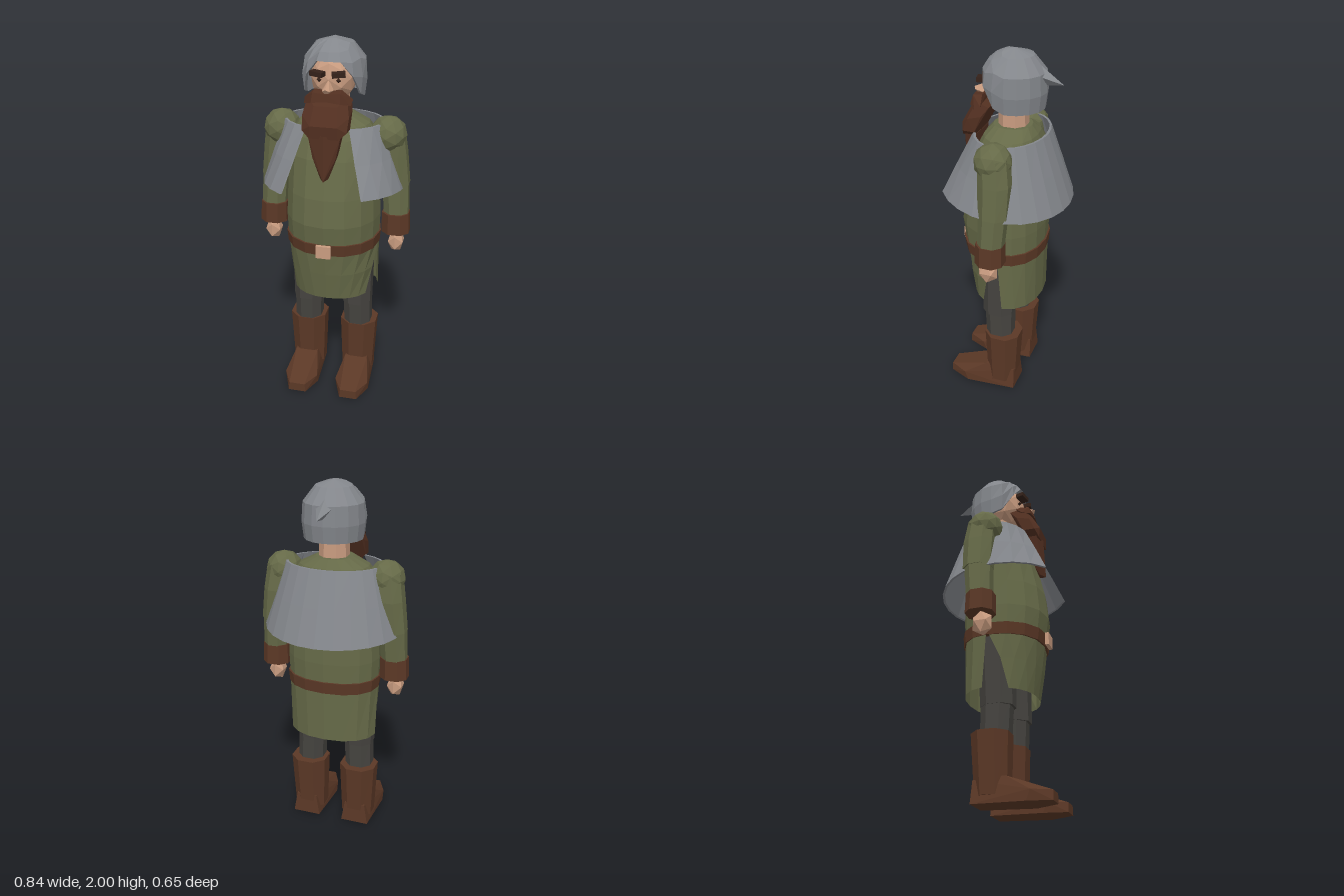
import * as THREE from 'three';
import { ConvexGeometry } from 'three/addons/geometries/ConvexGeometry.js';

const paint = (name, color, side = THREE.FrontSide) =>
  Object.assign(new THREE.MeshStandardMaterial({ color, side, flatShading: true }), { name });

export function createModel() {
  const model = new THREE.Group();
  model.name = 'beardedMan';
  const green = paint('tunicGreen', 0x666a48, THREE.DoubleSide);
  const steel = paint('steelGrey', 0x84878c, THREE.DoubleSide);
  const leather = paint('leatherBrown', 0x5b3826);
  const hair = paint('beardBrown', 0x533021);
  const dark = paint('browBrown', 0x35221a);
  const skin = paint('skin', 0xc99c80);
  const cloth = paint('trouserGrey', 0x45433f);

  function add(name, geometry, material, x = 0, y = 0, z = 0) {
    const mesh = new THREE.Mesh(geometry, material);
    mesh.name = name;
    mesh.position.set(x, y, z);
    model.add(mesh);
    return mesh;
  }

  // Skin a list of point rows, bottom to top; optional caps close both ends
  function surface(rows, caps = false) {
    const pos = [];
    const tri = (...pts) => pts.forEach((p) => pos.push(p.x, p.y, p.z));
    for (let i = 0; i < rows.length - 1; i++) {
      for (let j = 0; j < rows[i].length - 1; j++) {
        const a = rows[i][j], b = rows[i][j + 1], c = rows[i + 1][j + 1], d = rows[i + 1][j];
        tri(a, b, c);
        tri(a, c, d);
      }
    }
    if (caps) {
      const lo = rows[0], hi = rows[rows.length - 1];
      for (let j = 1; j < lo.length - 2; j++) {
        tri(lo[0], lo[j + 1], lo[j]);
        tri(hi[0], hi[j], hi[j + 1]);
      }
    }
    const g = new THREE.BufferGeometry();
    g.setAttribute('position', new THREE.Float32BufferAttribute(pos, 3));
    g.computeVertexNormals();
    return g;
  }

  // Horizontal arc with its own depth to the front and back; angle 0 faces +z
  function arc(y, rx, front, back, n = 16, a0 = 0, a1 = Math.PI * 2, cx = 0, cz = 0) {
    return Array.from({ length: n + 1 }, (_, j) => {
      const a = a0 + (a1 - a0) * j / n, c = Math.cos(a), s = Math.sin(a);
      const soft = (v) => Math.sign(v) * Math.abs(v) ** 0.9;
      return new THREE.Vector3(cx + rx * soft(s), y, cz + (c > 0 ? front : back) * soft(c));
    });
  }
  // Limb sections: [y, cx, cz, rx, rz]
  const limb = (sections, n = 8) => surface(sections.map(([y, cx, cz, rx, rz]) =>
    arc(y, rx, rz, rz, n, Math.PI / n, Math.PI * 2 + Math.PI / n, cx, cz)), true);
  const hull = (points) => new ConvexGeometry(points.map((p) => new THREE.Vector3(...p)));
  // Mirror each point across x for symmetric hulls
  const both = (points) => hull(points.flatMap(([x, y, z]) => [[x, y, z], [-x, y, z]]));

  // Tunic body with a round belly
  add('tunic', surface([
    [0.9, 0.252, 0.25, 0.185], [1.05, 0.257, 0.27, 0.19], [1.2, 0.25, 0.255, 0.185],
    [1.4, 0.245, 0.21, 0.18], [1.5, 0.235, 0.17, 0.165], [1.56, 0.19, 0.14, 0.14],
    [1.605, 0.1, 0.1, 0.105],
  ].map((s) => arc(...s)), true), green);

  // Skirt panels, slit at both hips
  const q = Math.PI / 2;
  add('skirtFront', surface([
    arc(0.59, 0.225, 0.205, 0.18, 8, -1.08, 1.08),
    arc(0.75, 0.24, 0.23, 0.18, 8, -1.3, 1.3),
    arc(0.91, 0.253, 0.25, 0.18, 8, -q, q),
  ]), green);
  add('skirtBack', surface([
    arc(0.59, 0.25, 0.18, 0.18, 8, q + 0.1, 3 * q - 0.1),
    arc(0.91, 0.253, 0.18, 0.185, 8, q, 3 * q),
  ]), green);

  // Belt and buckle
  add('belt', surface([arc(0.88, 0.256, 0.256, 0.192), arc(0.945, 0.262, 0.266, 0.196)], true), leather);
  add('buckle', new THREE.BoxGeometry(0.08, 0.07, 0.02), skin, 0, 0.912, 0.27);

  // Shoulder cape, open at the front, with a thin rim
  const capeRow = (t, inset) => {
    const a0 = 0.585 - 0.135 * t, mix = THREE.MathUtils.lerp;
    const row = [];
    for (let j = 0; j <= 20; j++) {
      const a = a0 + (Math.PI * 2 - 2 * a0) * j / 20, c = Math.cos(a);
      const z = c * (mix(c > 0 ? 0.385 : 0.325, 0.195, t) - inset);
      row.push(new THREE.Vector3(Math.sin(a) * (mix(0.385, 0.268, t) - inset), mix(1.22 + 0.09 * z, 1.57, t), z));
    }
    return row;
  };
  add('cape', surface([capeRow(0, 0), capeRow(0.5, 0), capeRow(1, 0),
    capeRow(1, 0.013), capeRow(0, 0.013), capeRow(0, 0)]), steel);

  for (const s of [1, -1]) {
    const side = s > 0 ? 'left' : 'right';
    // Arm
    add(side + 'Shoulder', new THREE.IcosahedronGeometry(0.1, 1), green, s * 0.287, 1.505, 0);
    add(side + 'UpperSleeve', limb([[1.23, s * 0.333, -0.02, 0.078, 0.082], [1.4, s * 0.315, -0.02, 0.078, 0.088],
      [1.54, s * 0.295, -0.01, 0.078, 0.08]]), green);
    add(side + 'LowerSleeve', limb([[1.05, s * 0.345, -0.005, 0.07, 0.07],
      [1.25, s * 0.333, -0.017, 0.074, 0.078]]), green);
    add(side + 'Cuff', limb([[0.955, s * 0.345, 0, 0.08, 0.08], [1.07, s * 0.342, 0, 0.077, 0.077]]), leather);
    add(side + 'Hand', new THREE.IcosahedronGeometry(0.06, 0), skin, s * 0.35, 0.9, 0.012).scale.set(0.8, 1.15, 1);

    // Leg
    add(side + 'Thigh', limb([[0.51, s * 0.142, 0.03, 0.085, 0.093], [0.88, s * 0.135, 0.02, 0.1, 0.1]]), cloth);
    add(side + 'Shin', limb([[0.33, s * 0.147, 0.02, 0.08, 0.08], [0.53, s * 0.142, 0.025, 0.082, 0.085]]), cloth);
    add(side + 'BootShaft', limb([[0.05, s * 0.147, 0.005, 0.095, 0.09],
      [0.37, s * 0.15, 0, 0.11, 0.106]]), leather);
    add(side + 'Foot', hull([[-1, 0.01, -0.085, 0.08], [1, 0.01, -0.085, 0.08], [-1, 0.13, -0.08, 0.06],
      [1, 0.13, -0.08, 0.06], [-1, 0.005, 0.2, 0.095], [1, 0.005, 0.2, 0.095], [-1, 0.06, 0.22, 0.095],
      [1, 0.06, 0.22, 0.095], [-1, 0.14, 0.09, 0.065], [1, 0.14, 0.09, 0.065], [-1, 0.01, 0.32, 0.05],
      [1, 0.01, 0.32, 0.05], [-1, 0.06, 0.32, 0.045], [1, 0.06, 0.32, 0.045],
    ].map(([e, y, z, w]) => [s * 0.15 + e * w, y, z])), leather);

    // Eye and slanted brow
    add(side + 'Eye', new THREE.OctahedronGeometry(0.013), dark, s * 0.05, 1.805, 0.13);
    const brow = add(side + 'Brow', new THREE.BoxGeometry(0.068, 0.024, 0.045), dark, s * 0.054, 1.84, 0.148);
    brow.rotation.set(0, s * 0.25, s * 0.08);

    // Moustache half
    add(side + 'Moustache', hull([[0, 1.755, 0.14], [0, 1.75, 0.2], [0, 1.715, 0.21], [0, 1.71, 0.14],
      [0.07, 1.762, 0.14], [0.07, 1.755, 0.19], [0.075, 1.705, 0.205], [0.125, 1.715, 0.13],
      [0.12, 1.69, 0.165]].map(([x, y, z]) => [s * x, y, z])), hair);
  }

  // Neck, head and nose
  add('neck', limb([[1.57, 0, -0.005, 0.08, 0.08], [1.73, 0, -0.005, 0.077, 0.077]]), skin);
  add('head', new THREE.IcosahedronGeometry(0.13, 1), skin, 0, 1.81, 0.012).scale.set(0.95, 1.1, 1);
  add('nose', both([[0, 1.81, 0.13], [0, 1.79, 0.175], [0.03, 1.76, 0.15], [0.018, 1.765, 0.2],
    [0, 1.775, 0.21], [0, 1.735, 0.18]]), skin);

  // Beard: broad upper block and pointed tail
  add('beard', both([[0.11, 1.71, 0.09], [0.1, 1.73, 0.16], [0.122, 1.66, 0.13], [0.12, 1.64, 0.205],
    [0.06, 1.69, 0.205], [0.118, 1.57, 0.17], [0.115, 1.57, 0.235], [0.07, 1.6, 0.255],
    [0.075, 1.535, 0.25], [0.075, 1.535, 0.18]]), hair);
  add('beardTail', both([[0.085, 1.55, 0.17], [0.085, 1.55, 0.235], [0, 1.55, 0.255], [0.06, 1.43, 0.24],
    [0.06, 1.43, 0.18], [0, 1.43, 0.25], [0.022, 1.32, 0.235], [0, 1.31, 0.265], [0, 1.31, 0.22]]), hair);

  // Helmet: dome whose rim rises over the face
  const domeRow = (t, scale) => Array.from({ length: 17 }, (_, j) => {
    const a = Math.PI * 2 * j / 16, off = Math.min(a, Math.PI * 2 - a);
    const rim = THREE.MathUtils.mapLinear(THREE.MathUtils.clamp(off, 0.5, 1.3), 0.5, 1.3, 0.42, -0.86);
    const e = rim + (q - rim) * t;
    const r = (e > 0 ? Math.cos(e) : 1 + 0.1 * e) * scale;
    return new THREE.Vector3(0.172 * r * Math.sin(a), 1.83 + 0.17 * Math.sin(e), -0.01 + 0.177 * r * Math.cos(a));
  });
  add('helmet', surface([domeRow(0.15, 0.92), domeRow(0, 0.92),
    ...[0, 0.25, 0.5, 0.75, 1].map((t) => domeRow(t, 1))]), steel);

  // Spike at the back of the helmet
  add('helmetSpike', both([[0, 1.965, -0.09], [0.046, 1.88, -0.155], [0, 1.825, -0.185],
    [0, 1.87, -0.1], [0, 1.835, -0.268]]), steel);

  return model;
}
